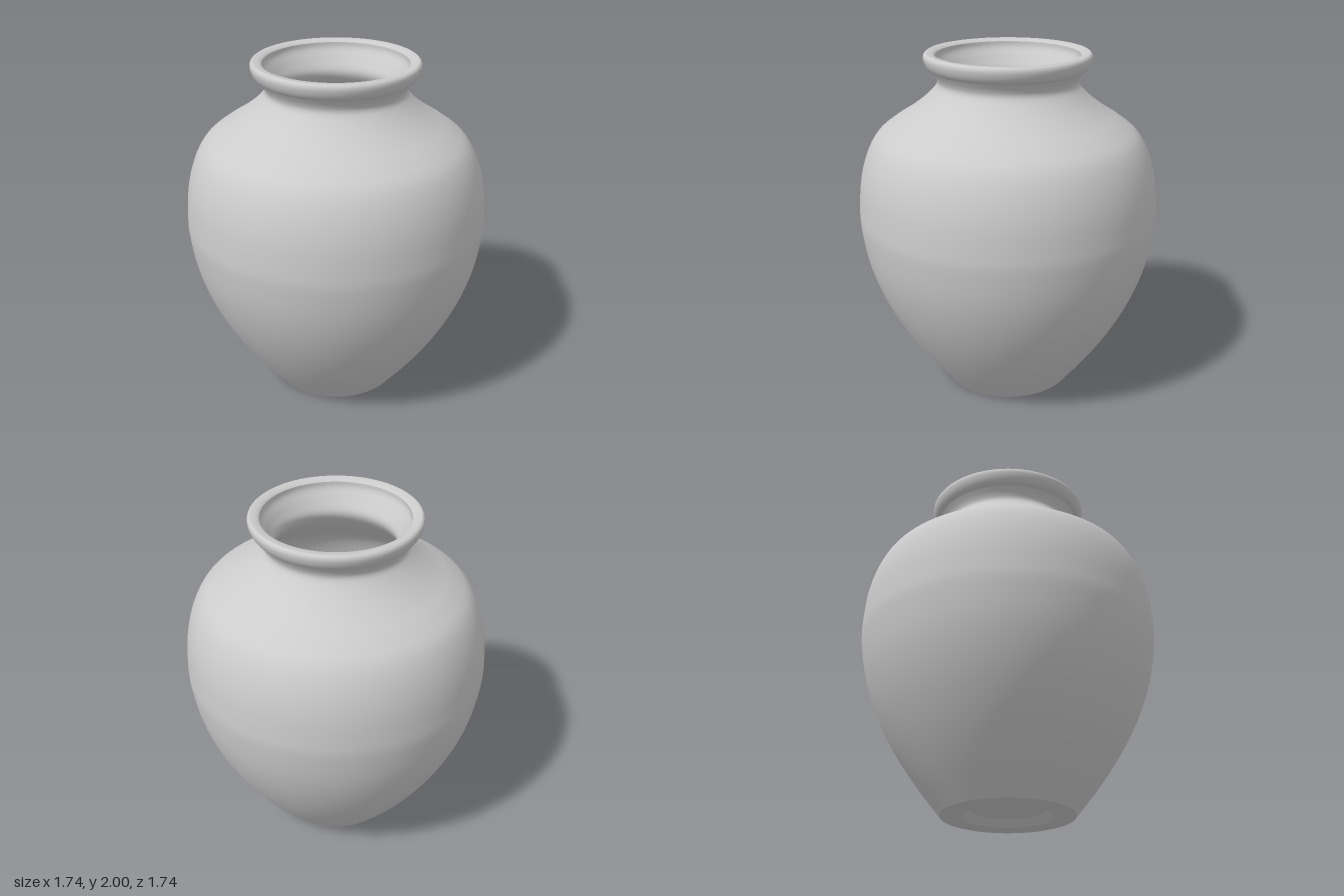
import * as THREE from 'three';

const SEGMENTS = 96;
const material = new THREE.MeshStandardMaterial({ color: 0xcccccc, side: THREE.DoubleSide });

// Revolve a [radius, height] profile; smooth profiles pass through a spline first
function revolve(name, points, divisions = 0) {
  let profile = points.map(([r, y]) => new THREE.Vector2(r, y));
  if (divisions) profile = new THREE.SplineCurve(profile).getPoints(divisions);
  const mesh = new THREE.Mesh(new THREE.LatheGeometry(profile, SEGMENTS), material);
  mesh.name = name;
  return mesh;
}

export function createModel() {
  const vase = new THREE.Group();
  vase.name = 'vase';

  // Outer wall from foot to neck
  const body = [
    [0.38, 0], [0.535, 0.2], [0.665, 0.4], [0.765, 0.6], [0.832, 0.8],
    [0.866, 1.0], [0.868, 1.12], [0.853, 1.28], [0.815, 1.42], [0.755, 1.53],
    [0.665, 1.605], [0.565, 1.67], [0.48, 1.735], [0.42, 1.795], [0.4, 1.83],
    [0.407, 1.863], [0.43, 1.9],
  ];
  // Inner wall, from the mouth down to the floor
  const inside = [
    [0.41, 1.985], [0.405, 1.95], [0.37, 1.895], [0.337, 1.83], [0.36, 1.77],
    [0.44, 1.69], [0.54, 1.61], [0.65, 1.53], [0.73, 1.44], [0.78, 1.3],
    [0.805, 1.12], [0.8, 1.0], [0.765, 0.8], [0.7, 0.6], [0.595, 0.4],
    [0.465, 0.2], [0.36, 0.06],
  ];

  vase.add(
    // Underside with a shallow recess
    revolve('recessFloor', [[0, 0.04], [0.21, 0.04]]),
    revolve('recessWall', [[0.21, 0.04], [0.255, 0]]),
    revolve('footRing', [[0.255, 0], [0.38, 0]]),
    revolve('body', body, 96),
    // Rolled lip and rim
    revolve('lip', [[0.43, 1.9], [0.452, 1.915], [0.468, 1.94], [0.476, 1.97], [0.472, 1.99], [0.46, 2]], 20),
    revolve('rim', [[0.46, 2], [0.425, 1.998], [0.41, 1.985]]),
    revolve('innerWall', inside, 96),
    // Inner floor, raised above the recess
    revolve('innerFloorRing', [[0.36, 0.06], [0.27, 0.06]]),
    revolve('innerStep', [[0.27, 0.06], [0.21, 0.1]]),
    revolve('innerFloor', [[0.21, 0.1], [0, 0.1]]),
  );
  return vase;
}
